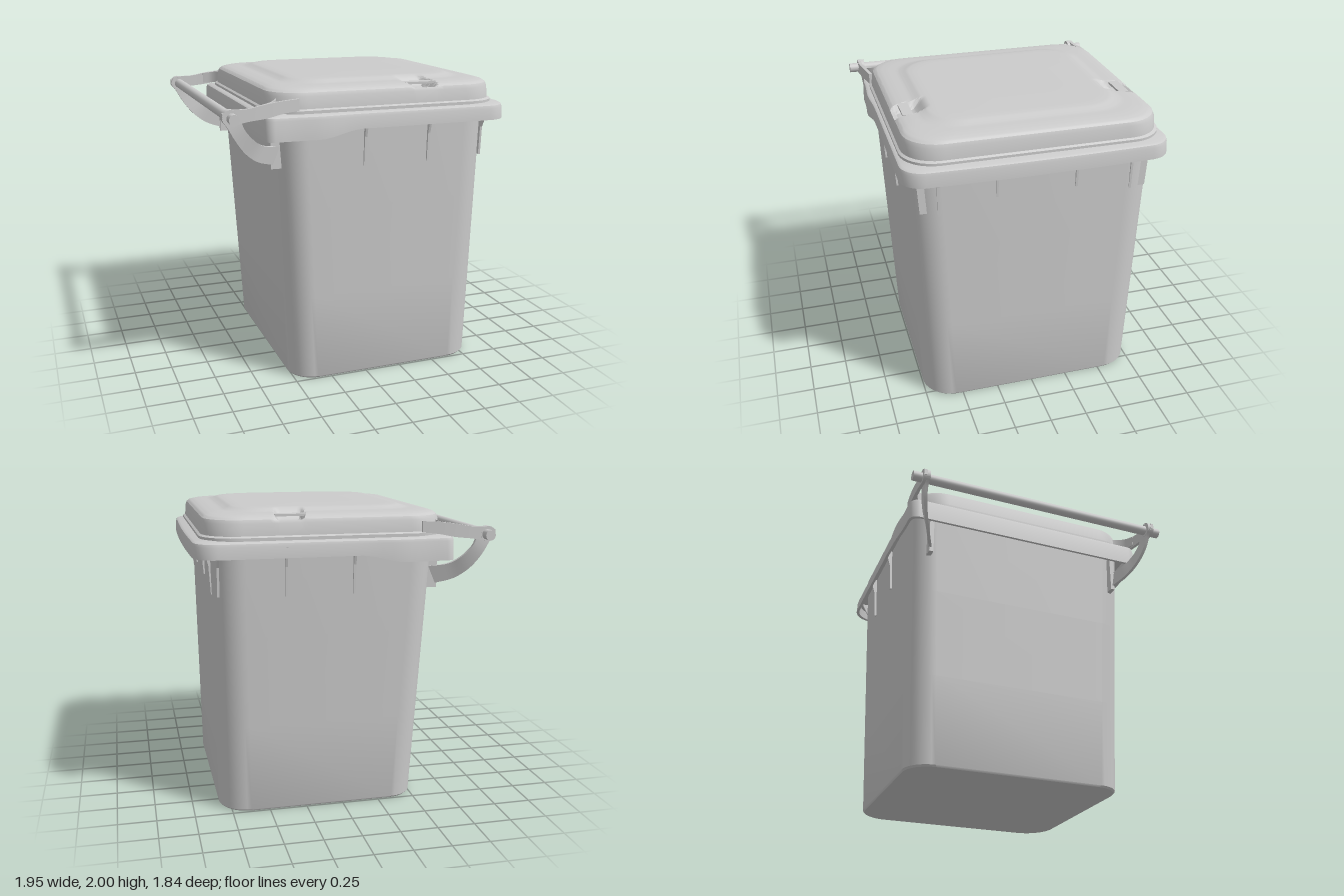
import * as THREE from 'three';
import { toCreasedNormals } from 'three/addons/utils/BufferGeometryUtils.js';

const mat = new THREE.MeshStandardMaterial({ color: 0xcccccc });
const smooth = THREE.MathUtils.smoothstep;

// Rounded rectangle in plan, counter-clockwise from above; edgeN subdivides the sides
function outline(x0, x1, hz, rl, rr, edgeN = 1, cornerN = 8) {
  const corners = [[x1 - rr, -(hz - rr), rr], [x0 + rl, -(hz - rl), rl], [x0 + rl, hz - rl, rl], [x1 - rr, hz - rr, rr]];
  const at = (c, a) => [c[0] + c[2] * Math.cos(a), c[1] - c[2] * Math.sin(a)];
  const pts = [];
  corners.forEach((c, k) => {
    for (let i = 0; i <= cornerN; i++) pts.push(at(c, (k + i / cornerN) * Math.PI / 2));
    const a = at(c, (k + 1) * Math.PI / 2);
    const b = at(corners[(k + 1) % 4], (k + 1) * Math.PI / 2);
    for (let i = 1; i < edgeN; i++) pts.push([a[0] + (b[0] - a[0]) * i / edgeN, a[1] + (b[1] - a[1]) * i / edgeN]);
  });
  return pts;
}

// Skin over a list of closed rings of [x, y, z], with optional end caps
function loft(rings, capStart, capEnd, crease = 0.6) {
  const n = rings[0].length, pos = rings.flat(2), idx = [];
  for (let r = 0; r < rings.length - 1; r++) {
    for (let i = 0; i < n; i++) {
      const j = (i + 1) % n, a = r * n, b = a + n;
      idx.push(a + i, a + j, b + i, a + j, b + j, b + i);
    }
  }
  const cap = (ring, base, flip) => {
    const c = pos.length / 3;
    for (let k = 0; k < 3; k++) pos.push(ring.reduce((s, p) => s + p[k], 0) / n);
    for (let i = 0; i < n; i++) {
      const j = (i + 1) % n;
      idx.push(c, base + (flip ? j : i), base + (flip ? i : j));
    }
  };
  if (capStart) cap(rings[0], 0, true);
  if (capEnd) cap(rings[rings.length - 1], (rings.length - 1) * n, false);
  const g = new THREE.BufferGeometry();
  g.setAttribute('position', new THREE.Float32BufferAttribute(pos, 3));
  g.setIndex(idx);
  return toCreasedNormals(g, crease);
}

// Thin bent plate through stations [xLow, yLow, xHigh, yHigh, z]
function strap(stations, side, t = 0.011) {
  const lo = new THREE.CatmullRomCurve3(stations.map(s => new THREE.Vector3(s[0], s[1], s[4])));
  const hi = new THREE.CatmullRomCurve3(stations.map(s => new THREE.Vector3(s[2], s[3], s[4])));
  const rings = [];
  for (let i = 0; i <= 20; i++) {
    const a = lo.getPoint(i / 20), b = hi.getPoint(i / 20);
    const za = side * a.z, zb = side * b.z;
    rings.push([[a.x, a.y, za - t], [b.x, b.y, zb - t], [b.x, b.y, zb + t], [a.x, a.y, za + t]]);
  }
  return loft(rings, true, true);
}

export function createModel() {
  const model = new THREE.Group();
  const add = (name, geo, x = 0, y = 0, z = 0) => {
    const m = new THREE.Mesh(geo, mat);
    m.name = name;
    m.position.set(x, y, z);
    model.add(m);
    return m;
  };

  // Tapered container
  const section = (y, inset = 0) => {
    const t = y / 1.78;
    return outline(-0.512 - 0.093 * t + inset, 0.823 + 0.022 * t - inset, 0.745 + 0.068 * t - inset, 0.17, 0.2, 1, 10)
      .map(([x, z]) => [x, y, z]);
  };
  add('container', loft([section(0, 0.008), section(0.012), section(0.6), section(1.2), section(1.78)], true, true));

  // Rim with a hollow skirt that drops lower towards the hinge
  const skirtY = x => 1.66 + 0.05 * smooth(x, -0.38, -0.08);
  const rimRing = (inset, yAt) => outline(-0.712 + inset, 0.975 - inset, 0.862 - inset, 0.06, 0.14, 24)
    .map(([x, z]) => {
      const bulge = 0.014 * Math.exp(-(((x + 0.35) / 0.14) ** 2)) * smooth(Math.abs(z), 0.6, 0.75);
      const bow = x > 0.5 ? -0.02 * (z / 0.86) ** 2 : 0;
      return [x + bow, yAt(x), z + Math.sign(z) * bulge];
    });
  add('rim', loft([
    rimRing(0.2, () => 1.77), rimRing(0.024, () => 1.77), rimRing(0.018, skirtY), rimRing(0, skirtY),
    rimRing(0.003, () => 1.785), rimRing(0.008, () => 1.803), rimRing(0.022, () => 1.812), rimRing(0.2, () => 1.812),
  ], false, true));

  // Domed lid with a raised centre panel and a grip recess on each side
  const profile = [[0.03, 1.8], [0.03, 1.82], [0, 1.82], [0, 1.836], [0.014, 1.845], [0.02, 1.92], [0.028, 1.943],
    [0.045, 1.957], [0.075, 1.966], [0.12, 1.972], [0.18, 1.976], [0.205, 1.983], [0.235, 1.994], [0.27, 1.998], [0.36, 2]];
  const dip = (x, z) => {
    const az = Math.abs(z), shift = 0.14 * Math.max(0, az - 0.6);
    const across = smooth(x, 0.235 + shift, 0.265 + shift) * (1 - smooth(x, 0.4 + shift, 0.43 + shift));
    return 0.05 * across * smooth(az, 0.57, 0.67) * (1 - smooth(az, 0.77, 0.815));
  };
  const lidRings = [];
  profile.forEach(([inset, y], k) => {
    const next = profile[k + 1];
    const steps = next && k >= 6 ? 3 : 1;
    for (let i = 0; i < steps; i++) {
      const f = i / steps;
      const d = next ? inset + (next[0] - inset) * f : inset;
      const h = next ? y + (next[1] - y) * f : y;
      lidRings.push(outline(-0.678 + d, 0.91 - d, 0.835 - d, 0.22, 0.22, 50)
        .map(([x, z]) => [x, h - (k >= 6 ? dip(x, z) : 0), z]));
    }
  });
  add('lid', loft(lidRings, true, true, 0.5));

  // Stiffening fins under the rim
  const fin = (x, z, angle, h, depth = 0.055) => {
    const shape = new THREE.Shape([[-0.04, 0], [0.008, 0], [0.02, h * 0.6], [depth, h], [-0.04, h]]
      .map(p => new THREE.Vector2(...p)));
    const g = new THREE.ExtrudeGeometry(shape, { depth: 0.015, bevelEnabled: false });
    g.translate(0, 0, -0.0075).rotateY(angle);
    add('rimFin', g, x, 1.775 - h, z);
  };

  for (const s of [1, -1]) {
    fin(-0.05, s * 0.805, -s * Math.PI / 2, 0.315);
    fin(0.39, s * 0.805, -s * Math.PI / 2, 0.315);
    fin(0.808, s * 0.735, -s * Math.PI / 2, 0.315, 0.09);
    fin(0.842, s * 0.26, 0, 0.245);
    fin(0.835, s * 0.63, 0, 0.315);

    // Grip bar bridging the lid recess
    add('lidGrip', new THREE.BoxGeometry(0.2, 0.014, 0.065), 0.35, 1.962, s * 0.722);

    // Upper hinge arm, running along the lid's side
    add('lidArm', strap([[-0.975, 1.81, -0.975, 1.85, 0.845], [-0.92, 1.78, -0.93, 1.868, 0.846],
      [-0.82, 1.795, -0.82, 1.872, 0.845], [-0.7, 1.808, -0.7, 1.893, 0.84],
      [-0.6, 1.828, -0.6, 1.905, 0.832], [-0.49, 1.84, -0.49, 1.912, 0.82]], s));
    add('lidArmWeb', strap([[-0.73, 1.815, -0.73, 1.888, 0.84], [-0.67, 1.82, -0.67, 1.897, 0.815],
      [-0.625, 1.825, -0.625, 1.905, 0.765], [-0.6, 1.83, -0.6, 1.91, 0.7]], s));

    // Lower hinge arm, sweeping down to the container
    add('containerArm', strap([[-0.97, 1.8, -0.93, 1.868, 0.822], [-0.945, 1.77, -0.87, 1.825, 0.826],
      [-0.9, 1.69, -0.835, 1.745, 0.82], [-0.83, 1.595, -0.77, 1.67, 0.79],
      [-0.74, 1.525, -0.7, 1.622, 0.745], [-0.62, 1.485, -0.57, 1.6, 0.69]], s));
    add('containerArmFoot', new THREE.BoxGeometry(0.075, 0.26, 0.03), -0.602, 1.59, s * 0.69);

    // Hinge eyes around the bar
    for (const z of [0.846, 0.824]) {
      const eye = new THREE.CylinderGeometry(0.05, 0.05, 0.024, 24).rotateX(Math.PI / 2);
      add('hingeEye', eye, -0.925, 1.823, s * z);
    }
  }

  // Handle bar, also the hinge pin
  add('handleBar', new THREE.CylinderGeometry(0.033, 0.033, 1.84, 24).rotateX(Math.PI / 2), -0.917, 1.82, 0);

  return model;
}
